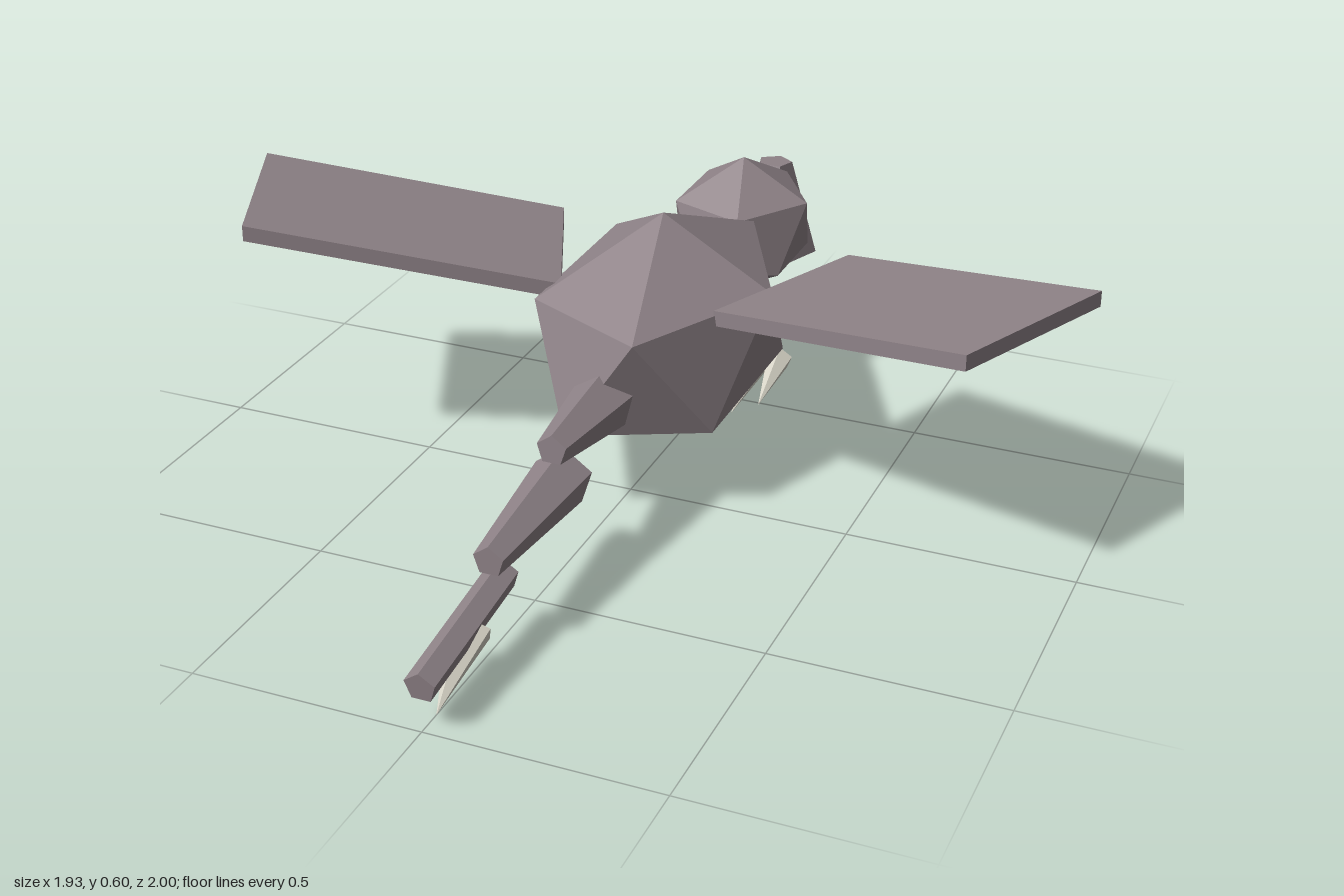
import * as THREE from 'three';

const material = (color) => new THREE.MeshStandardMaterial({ color, flatShading: true });

export function createModel() {
  const model = new THREE.Group();
  const hide = material(0x8f8388);
  const bellySkin = material(0xa0927f);
  const horn = material(0xd8d5c8);

  const add = (name, geometry, mat) => {
    const mesh = new THREE.Mesh(geometry, mat);
    mesh.name = name;
    model.add(mesh);
    return mesh;
  };

  // Faceted ball with a corner at the top and bottom
  const ball = (name, center, radii, mat) => {
    const geometry = new THREE.IcosahedronGeometry(1, 0);
    geometry.rotateZ(-Math.atan(2 / (1 + Math.sqrt(5))));
    geometry.scale(...radii);
    add(name, geometry, mat).position.set(...center);
  };

  // Tapered five-sided prism or spike from point a to point b
  const taper = (name, a, b, ra, rb, mat) => {
    const start = new THREE.Vector3(...a);
    const end = new THREE.Vector3(...b);
    const axis = end.clone().sub(start);
    const geometry = new THREE.CylinderGeometry(rb, ra, axis.length(), 5);
    geometry.rotateY(Math.PI);
    const mesh = add(name, geometry, mat);
    mesh.position.copy(start).add(end).multiplyScalar(0.5);
    mesh.quaternion.setFromUnitVectors(new THREE.Vector3(0, 1, 0), axis.normalize());
  };

  // Body, belly and head
  ball('body', [0, 0.335, -0.18], [0.285, 0.268, 0.423], hide);
  ball('belly', [0, 0.255, -0.205], [0.215, 0.2, 0.29], bellySkin);
  ball('head', [0, 0.385, -0.68], [0.178, 0.165, 0.2], hide);

  // Beak, wide at its lower end
  taper('beak', [0, 0.23, -0.89], [0, 0.46, -0.9], 0.11, 0.042, hide);

  // Overlapping tail segments with a spike under the last one
  taper('tailBase', [0, 0.3, 0.08], [0, 0.312, 0.41], 0.078, 0.034, hide);
  taper('tailMiddle', [0, 0.225, 0.35], [0, 0.215, 0.705], 0.066, 0.034, hide);
  taper('tailEnd', [0, 0.155, 0.64], [0, 0.108, 1], 0.035, 0.034, hide);
  taper('tailSpike', [0, 0.115, 0.785], [0, 0.01, 0.94], 0.048, 0, horn);

  for (const side of [1, -1]) {
    const prefix = side > 0 ? 'left' : 'right';

    // Wing: a slab swept back and raised towards its tip
    const wing = new THREE.BoxGeometry(1, 1, 1);
    wing.applyMatrix4(new THREE.Matrix4().makeBasis(
      new THREE.Vector3(0.62, 0.14 * side, 0.275 * side),
      new THREE.Vector3(0, 0.035, 0),
      new THREE.Vector3(-0.17 * side, 0, 0.39),
    ));
    add(prefix + 'Wing', wing, hide).position.set(0.572 * side, 0.518, -0.087);

    // Three claws fanned below the belly
    for (const i of [-1, 0, 1]) {
      const length = i === 0 ? 0.21 : 0.17;
      taper(prefix + 'Claw', [side * (0.14 + i * 0.04), 0.16, -0.46],
        [side * (0.14 + i * 0.05), i === 0 ? 0.108 : 0.12, -0.46 + length], 0.03, 0, horn);
    }
  }

  return model;
}
